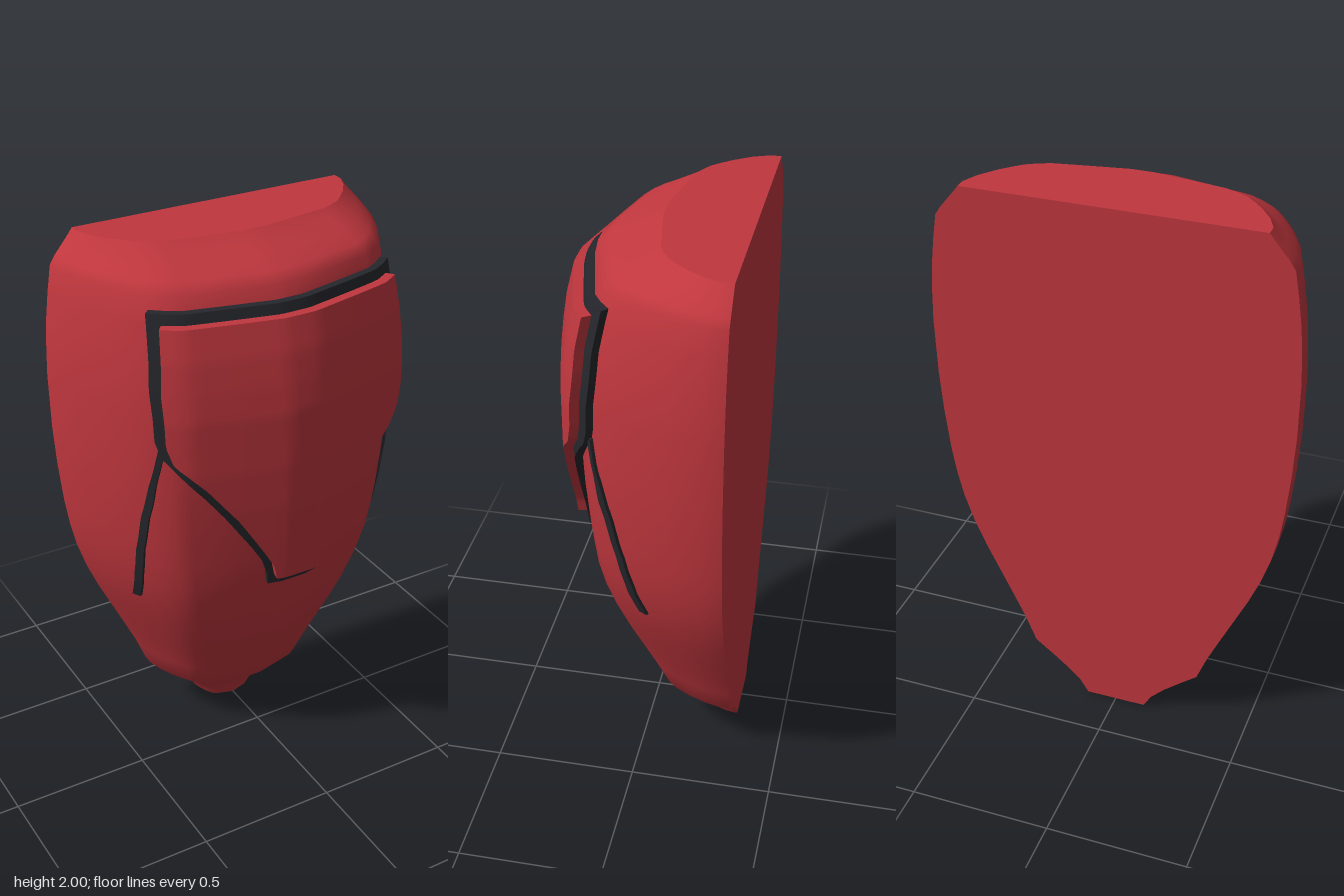
import * as THREE from 'three';
import { mergeGeometries } from 'three/addons/utils/BufferGeometryUtils.js';

const BACK = -0.325;

// Body profile: height, half-width, z of the front
const PROFILE = [
  [0, 0.11, -0.195], [0.05, 0.14, -0.175], [0.1, 0.19, -0.135], [0.15, 0.25, -0.078], [0.2, 0.313, -0.02],
  [0.3, 0.352, 0.028], [0.4, 0.398, 0.076], [0.5, 0.445, 0.124], [0.6, 0.492, 0.165], [0.7, 0.533, 0.198],
  [0.8, 0.565, 0.221], [0.9, 0.587, 0.233], [1, 0.602, 0.244], [1.15, 0.617, 0.258], [1.3, 0.626, 0.266],
  [1.5, 0.629, 0.266], [1.6, 0.625, 0.255], [1.7, 0.618, 0.24], [1.8, 0.605, 0.215], [1.89, 0.59, 0.193],
  [1.92, 0.57, 0.15], [1.95, 0.545, 0.08], [1.98, 0.52, 0.01], [2, 0.505, -0.022],
];

// Half of the cross-section as fractions of half-width and depth
const SECTION = [
  [0, 1], [0.08, 1], [0.33, 0.935], [0.58, 0.865], [0.66, 0.81], [0.74, 0.735],
  [0.81, 0.62], [0.87, 0.51], [0.95, 0.32], [1, 0.13], [1, 0],
];

// Linear lookup in a table sorted by its first column
function lookup(table, t, col = 1) {
  for (let i = 1; i < table.length; i++) {
    const a = table[i - 1], b = table[i];
    if (t <= b[0] && b[0] > a[0]) {
      const k = Math.max(0, (t - a[0]) / (b[0] - a[0]));
      return a[col] + (b[col] - a[col]) * k;
    }
  }
  return table[table.length - 1][col];
}

// Smooth surface over a grid of points given by at(row, column)
function grid(rows, cols, at) {
  const pos = [], index = [];
  for (let i = 0; i < rows; i++) for (let j = 0; j < cols; j++) pos.push(...at(i, j));
  for (let i = 0; i < rows - 1; i++) {
    for (let j = 0; j < cols - 1; j++) {
      const a = i * cols + j, d = a + cols;
      index.push(a, a + 1, d + 1, a, d + 1, d);
    }
  }
  const geo = new THREE.BufferGeometry();
  geo.setAttribute('position', new THREE.Float32BufferAttribute(pos, 3));
  geo.setIndex(index);
  geo.computeVertexNormals();
  return geo;
}

// Front surface of the body at x, y
function bodyZ(x, y) {
  const w = lookup(PROFILE, y, 1), zf = lookup(PROFILE, y, 2);
  return BACK + (zf - BACK) * lookup(SECTION, Math.min(0.999, Math.abs(x) / w));
}

// Point raised from the body along its sideways normal
function raised(x, y, out) {
  const e = 0.04;
  const slope = (bodyZ(x + e, y) - bodyZ(x - e, y)) / (2 * e);
  const len = Math.hypot(1, slope);
  return [x - (slope / len) * out, y, bodyZ(x, y) + out / len];
}

// Raised plate on the body between two edges x0(y) and x1(y)
function plate(y0, y1, x0, x1, from, to, rows, cols) {
  const p = (i, j, out) => {
    const y = y0 + ((y1 - y0) * i) / (rows - 1);
    const a = x0(y), b = x1(y);
    return raised(a + ((b - a) * j) / (cols - 1), y, out);
  };
  const R = rows - 1, C = cols - 1;
  const wall = (n, edge) => grid(2, n, (k, j) => p(...edge(j), k ? to : from));
  return mergeGeometries([
    grid(rows, cols, (i, j) => p(i, j, to)),
    wall(cols, (j) => [0, j]),
    wall(rows, (j) => [j, C]),
    wall(cols, (j) => [R, C - j]),
    wall(rows, (j) => [R - j, 0]),
  ]);
}

function bodyGeometry() {
  const half = SECTION.slice(1);
  const loop = [...half.map(([u, v]) => [-u, v]).reverse(), SECTION[0], ...half];
  const n = loop.length, last = PROFILE.length - 1;
  const at = (i, j) => {
    const [y, w, zf] = PROFILE[i];
    return [loop[j][0] * w, y, BACK + (zf - BACK) * loop[j][1]];
  };
  const flat = (i, j) => { const q = at(i, j); return [q[0], q[1], BACK]; };
  return mergeGeometries([
    grid(last + 1, n, at),
    grid(last + 1, 2, (i, j) => flat(i, j ? 0 : n - 1)),      // flat back
    grid(2, n, (i, j) => (i ? flat(last, j) : at(last, j))),  // top
    grid(2, n, (i, j) => (i ? at(0, j) : flat(0, j))),        // bottom
  ]);
}

// Half-width outlines by height
const TRIM = [
  [0.8, 0.09], [0.84, 0.093], [0.9, 0.112], [0.97, 0.155], [1.11, 0.25], [1.26, 0.365],
  [1.36, 0.433], [1.42, 0.447], [1.6, 0.452], [1.845, 0.435],
];
const PANEL = [
  [0.84, 0.072], [0.9, 0.084], [0.97, 0.125], [1.11, 0.212], [1.26, 0.328],
  [1.35, 0.398], [1.42, 0.417], [1.6, 0.421], [1.81, 0.405],
];
const SEAM = [[0.72, 0.462], [0.83, 0.472], [0.95, 0.477], [1.1, 0.472], [1.25, 0.457], [1.38, 0.435]];

export function createModel() {
  const model = new THREE.Group();
  const red = new THREE.MeshStandardMaterial({ color: 0xc0373e });
  red.name = 'red';
  const black = new THREE.MeshStandardMaterial({ color: 0x26272c });
  black.name = 'black';
  const add = (name, geo, mat) => {
    const mesh = new THREE.Mesh(geo, mat);
    mesh.name = name;
    model.add(mesh);
  };

  add('body', bodyGeometry(), red);

  // Raised front panel on its dark border
  const trim = (y) => lookup(TRIM, y), panel = (y) => lookup(PANEL, y);
  add('panelBorder', plate(0.8, 1.845, (y) => -trim(y), trim, -0.01, 0.028, 50, 33), black);
  add('frontPanel', plate(0.84, 1.81, (y) => -panel(y), panel, 0, 0.062, 50, 33), red);

  // Side seams running down from the panel
  const seam = (y) => lookup(SEAM, y);
  const half = 0.008;
  add('leftSeam', plate(0.72, 1.38, (y) => seam(y) - half, (y) => seam(y) + half, -0.01, 0.012, 24, 3), black);
  add('rightSeam', plate(0.72, 1.38, (y) => -seam(y) - half, (y) => -seam(y) + half, -0.01, 0.012, 24, 3), black);

  return model;
}
